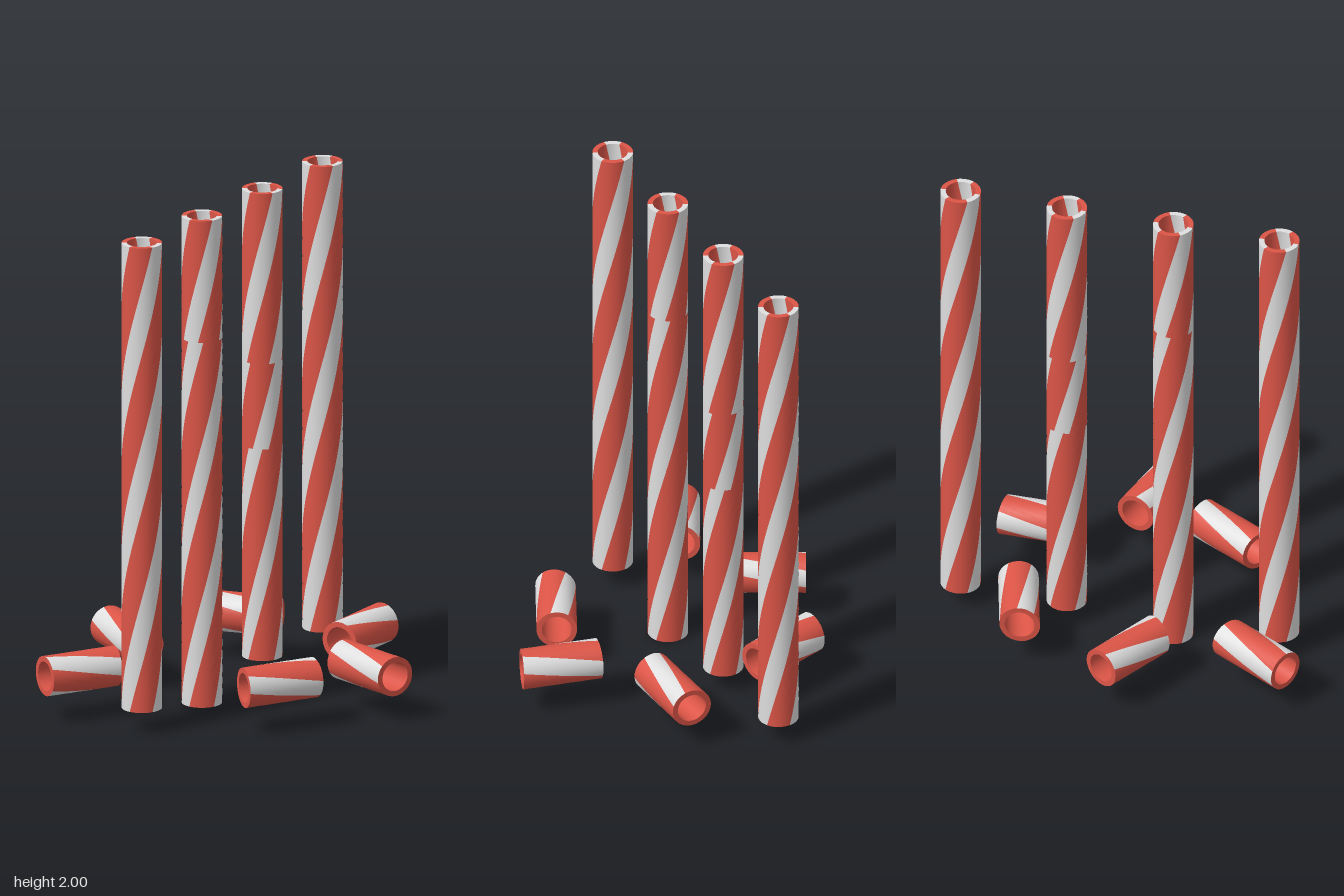
import * as THREE from 'three';

const R = 0.08, INNER = 0.059, RAD = Math.PI / 180;

const red = new THREE.MeshStandardMaterial({ color: 0xdc5547 });
red.name = 'red';
const white = new THREE.MeshStandardMaterial({ color: 0xdedede });
white.name = 'white';

// Grid patch; fn(u, v) returns [point, normal]
function addGrid(out, nu, nv, fn) {
  const base = out.pos.length / 3;
  for (let j = 0; j <= nv; j++) {
    for (let i = 0; i <= nu; i++) {
      const [p, n] = fn(i / nu, j / nv);
      out.pos.push(...p);
      out.nor.push(...n);
    }
  }
  for (let j = 0; j < nv; j++) {
    for (let i = 0; i < nu; i++) {
      const a = base + j * (nu + 1) + i, b = a + nu + 1;
      out.idx.push(a, a + 1, b + 1, a, b + 1, b);
    }
  }
}

function toMesh(out, material, name) {
  const g = new THREE.BufferGeometry();
  g.setAttribute('position', new THREE.Float32BufferAttribute(out.pos, 3));
  g.setAttribute('normal', new THREE.Float32BufferAttribute(out.nor, 3));
  g.setIndex(out.idx);
  const m = new THREE.Mesh(g, material);
  m.name = name;
  return m;
}

// Hollow tube along +y with three white helical stripes on red.
// phase: angle of a white stripe's centre at the base, rate: degrees per unit
function stripedTube({ length, phase, rate, whiteWidth = 52, slant = 0, plainInside = false, caps = [true, true] }) {
  const group = new THREE.Group();
  const parts = {
    red: { pos: [], nor: [], idx: [] },
    white: { pos: [], nor: [], idx: [] },
  };
  const rows = Math.max(6, Math.ceil(length * 24));
  const point = (r, deg, t) => {
    const a = deg * RAD, x = r * Math.sin(a);
    return [x, t * (length - slant * x), r * Math.cos(a)];
  };
  const radial = (deg, s) => [s * Math.sin(deg * RAD), 0, s * Math.cos(deg * RAD)];

  for (let k = 0; k < 3; k++) {
    const start = phase + k * 120 - whiteWidth / 2;
    const bands = [['white', start, whiteWidth], ['red', start + whiteWidth, 120 - whiteWidth]];
    for (const [colour, from, width] of bands) {
      const outer = parts[colour], inside = plainInside ? parts.red : outer;
      const at = (u, t) => from + u * width + rate * length * t;
      addGrid(outer, 5, rows, (u, t) => [point(R, at(u, t), t), radial(at(u, t), 1)]);
      addGrid(inside, 5, rows, (u, t) => [point(INNER, at(1 - u, t), t), radial(at(1 - u, t), -1)]);
      // Ring-shaped ends
      if (caps[1]) addGrid(inside, 5, 1, (u, v) => [point(R + (INNER - R) * v, at(u, 1), 1), [0, 1, 0]]);
      if (caps[0]) addGrid(inside, 5, 1, (u, v) => [point(R + (INNER - R) * v, at(1 - u, 0), 0), [0, -1, 0]]);
    }
  }
  group.add(toMesh(parts.red, red, 'redStripes'), toMesh(parts.white, white, 'whiteStripes'));
  return group;
}

export function createModel() {
  const model = new THREE.Group();
  model.name = 'stripedTubes';

  // Standing poles: z and sections from top to bottom [top, bottom, stripe shift, white width]
  const poles = [
    [0.603, [[2, 0.09, 0, 52]]],
    [0.173, [[2, 1.5, 0, 52], [1.5, 0, 18, 46]]],
    [-0.259, [[2, 1.3, 0, 52], [1.3, 0.95, 16, 46], [0.95, 0.08, 0, 42]]],
    [-0.69, [[2, 0.085, 0, 52]]],
  ];
  const poleRate = 188;
  poles.forEach(([z, sections], n) => {
    const pole = new THREE.Group();
    pole.name = 'pole' + (n + 1);
    sections.forEach(([top, bottom, shift, whiteWidth], i) => {
      const part = stripedTube({
        length: top - bottom,
        phase: 90 - poleRate * (2 - bottom) + shift,
        rate: poleRate,
        whiteWidth,
        caps: [i === sections.length - 1, i === 0],
      });
      part.name = 'poleSection';
      part.position.y = bottom;
      pole.add(part);
    });
    pole.position.set(-0.118, 0, z);
    model.add(pole);
  });

  // Short lying pieces: square-cut end x, z, direction x, z, stripe phase
  const pieces = [
    [0.224, -0.291, 0, -1, 0],
    [-0.163, -0.444, -0.963, 0.268, 55],
    [0.36, -0.106, 0.964, 0.265, 28],
    [-0.656, 0.02, 0.863, 0.505, 42],
    [0.397, 0.155, -0.49, 0.872, 8],
    [-0.493, 0.725, 0.5, -0.866, 30],
  ];
  const up = new THREE.Vector3(0, 1, 0);
  pieces.forEach(([x, z, dx, dz, phase], n) => {
    const piece = stripedTube({ length: 0.311, phase, rate: 150, slant: 0.14, plainInside: true });
    piece.name = 'shortPiece' + (n + 1);
    const dir = new THREE.Vector3(dx, 0, dz).normalize();
    const right = new THREE.Vector3().crossVectors(dir, up);
    piece.quaternion.setFromRotationMatrix(new THREE.Matrix4().makeBasis(right, dir, up));
    piece.position.set(x, 0.185, z);
    model.add(piece);
  });

  return model;
}
